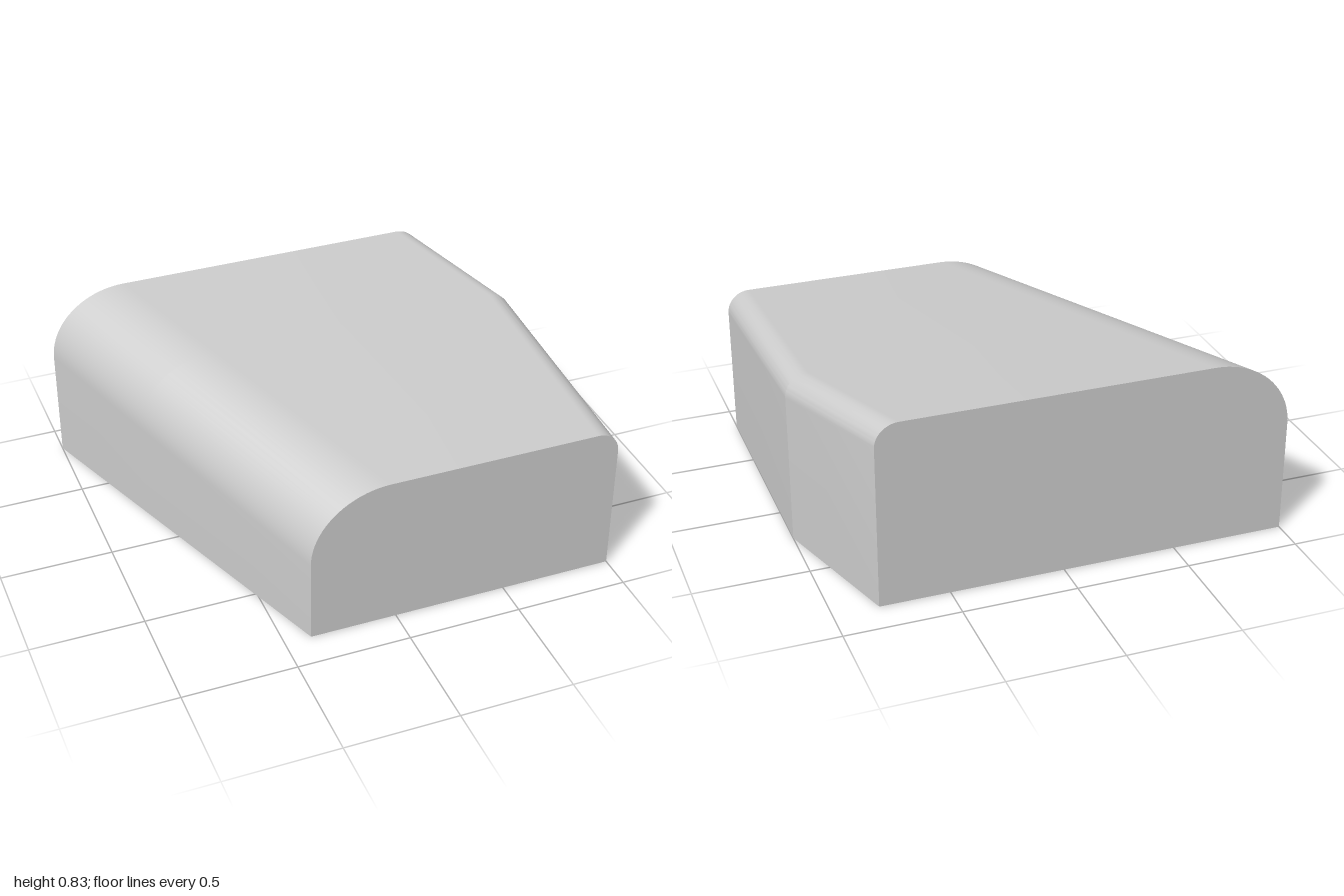
import * as THREE from 'three';
import { toCreasedNormals } from 'three/addons/utils/BufferGeometryUtils.js';

const STEPS = 20;

// Upright slice with a flat base, a small right fillet and a large left fillet,
// listed counter-clockwise as seen from +z.
function section({ z, left, right, top, rightRx }) {
  const points = [[left, 0, z], [right, 0, z]];
  const arc = (cx, rx, ry, start) => {
    for (let i = 0; i <= STEPS; i++) {
      const a = start + (i / STEPS) * Math.PI / 2;
      points.push([cx + rx * Math.cos(a), top - ry + ry * Math.sin(a), z]);
    }
  };
  arc(right - rightRx, rightRx, 0.1, 0);
  arc(left + 0.35, 0.35, 0.32, Math.PI / 2);
  return points;
}

// Skin over the slices, closed by a fan at each end.
function loft(sections) {
  const n = sections[0].length;
  const index = [];
  for (let s = 0; s < sections.length - 1; s++) {
    for (let i = 0; i < n; i++) {
      const j = (i + 1) % n;
      const a = s * n + i, b = s * n + j, c = b + n, d = a + n;
      index.push(a, b, c, a, c, d);
    }
  }
  const last = (sections.length - 1) * n;
  for (let i = 1; i < n - 1; i++) {
    index.push(0, i + 1, i);
    index.push(last, last + i, last + i + 1);
  }
  const geometry = new THREE.BufferGeometry();
  geometry.setAttribute('position', new THREE.Float32BufferAttribute(sections.flat(2), 3));
  geometry.setIndex(index);
  return toCreasedNormals(geometry, 0.25);
}

export function createModel() {
  const group = new THREE.Group();
  group.name = 'taperedBlock';

  // The left wall slants all the way; the right wall bends once; the top slopes to the front.
  const slices = [
    { z: -0.85, left: -1, right: 0.805, rightRx: 0.105 },
    { z: -0.225, left: -0.773, right: 1, rightRx: 0.1 },
    { z: 0.845, left: -0.383, right: 1, rightRx: 0.1 },
  ].map((s) => section({ ...s, top: 0.83 - 0.135 * (s.z + 0.85) / 1.695 }));

  const body = new THREE.Mesh(
    loft(slices),
    new THREE.MeshStandardMaterial({ color: 0xcccccc })
  );
  body.name = 'body';
  group.add(body);
  return group;
}
